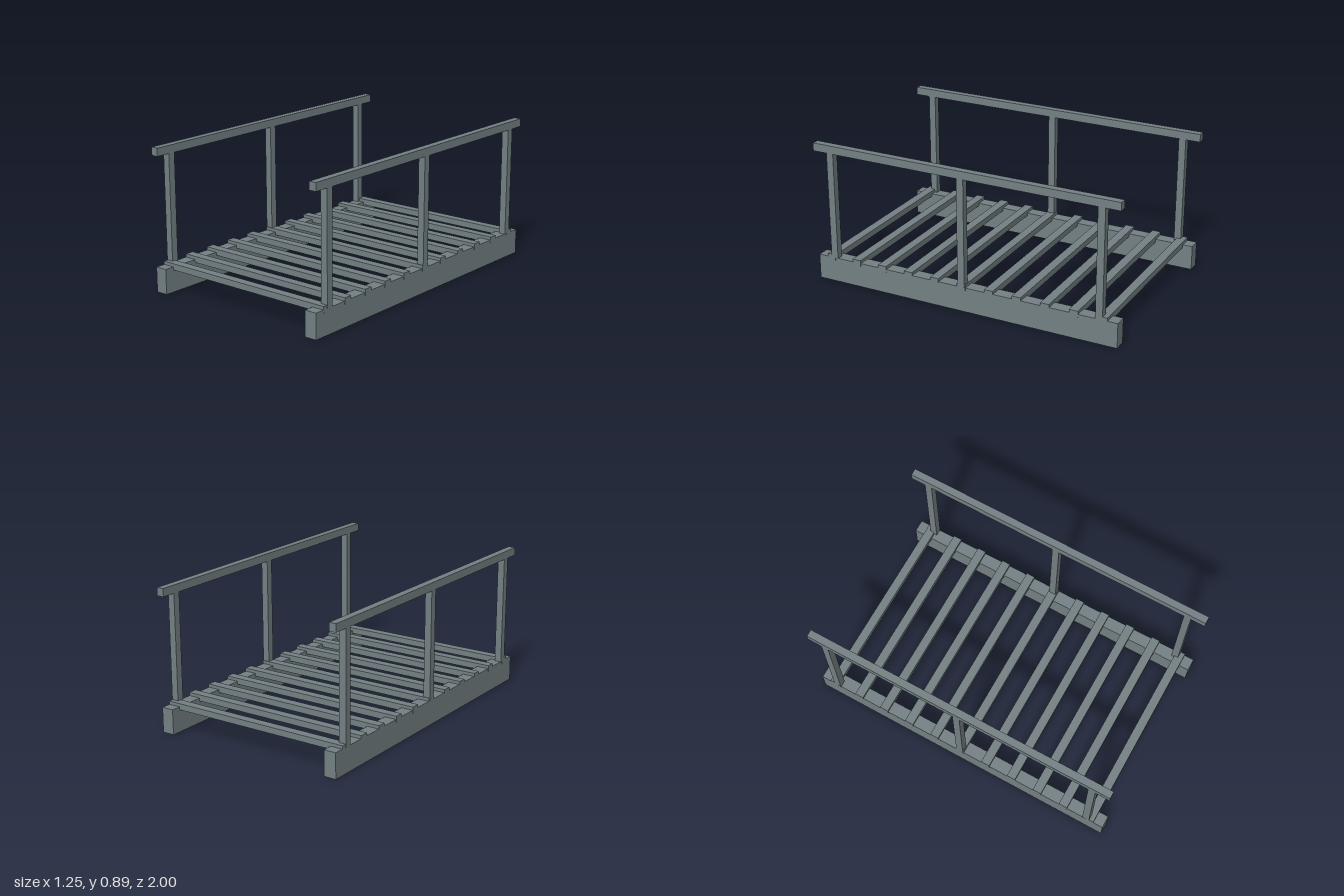
import * as THREE from 'three';

export function createModel() {
  const bridge = new THREE.Group();
  bridge.name = 'footbridge';
  const greyWood = new THREE.MeshStandardMaterial({ color: 0x748184 });
  greyWood.name = 'greyWood';

  // Box centred on x and z, standing on height y
  function beam(name, w, h, d, x, y, z) {
    const mesh = new THREE.Mesh(new THREE.BoxGeometry(w, h, d), greyWood);
    mesh.name = name;
    mesh.position.set(x, y + h / 2, z);
    bridge.add(mesh);
  }

  // Both sides: bearer, handrail and three posts
  for (const [side, s] of [['left', 1], ['right', -1]]) {
    beam(`${side}Bearer`, 0.078, 0.157, 2, s * 0.582, 0, 0);
    beam(`${side}Handrail`, 0.046, 0.05, 2, s * 0.602, 0.839, 0);
    [-0.885, 0, 0.885].forEach((z, i) =>
      beam(`${side}Post${i + 1}`, 0.044, 0.682, 0.045, s * 0.602, 0.157, z));
  }

  // Deck slats, let into the bearers
  const slatCount = 11;
  const step = 2 / slatCount;
  for (let i = 0; i < slatCount; i++) {
    beam(`deckSlat${i + 1}`, 1.246, 0.039, 0.056, 0, 0.138, (i - (slatCount - 1) / 2) * step);
  }
  return bridge;
}
